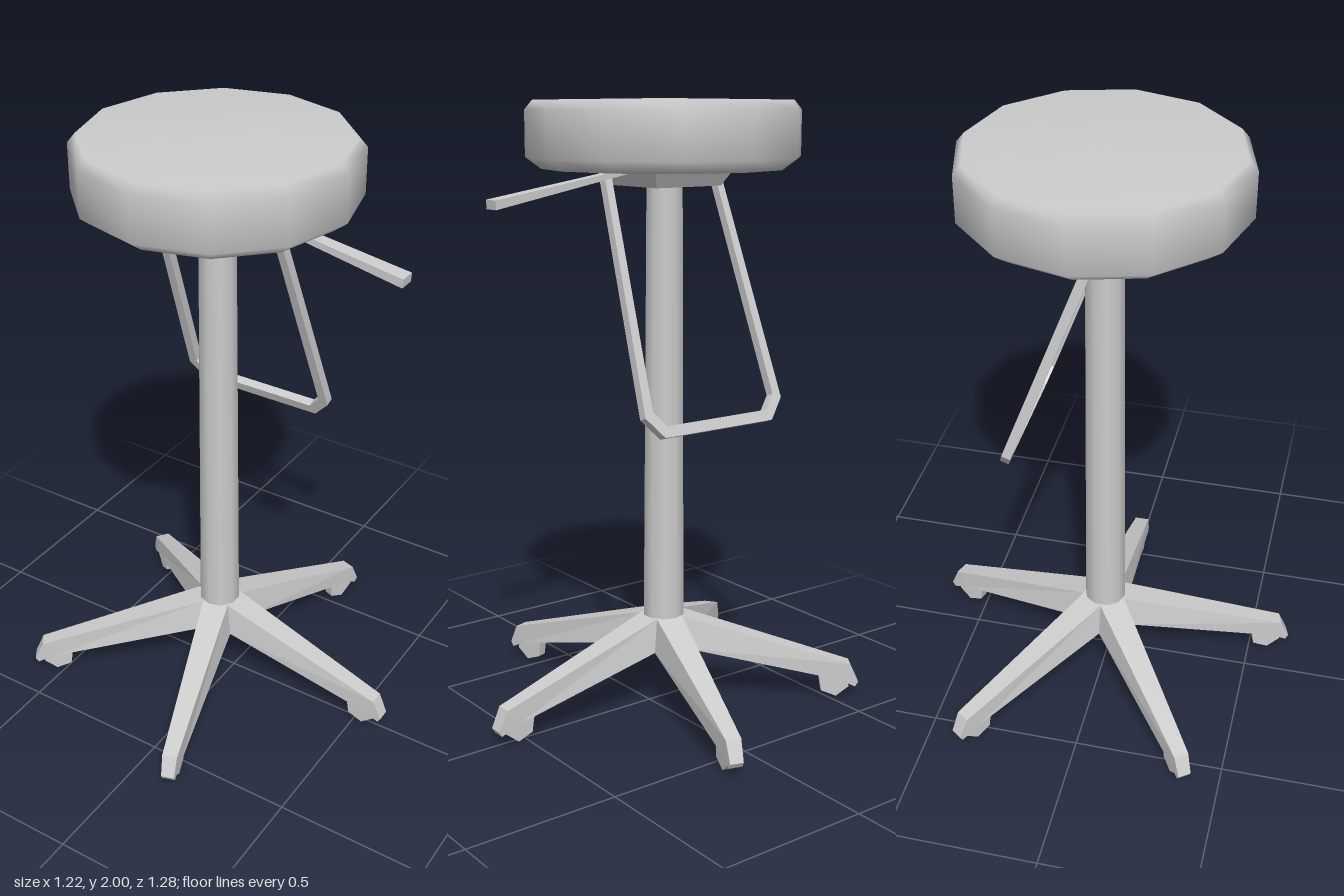
import * as THREE from 'three';

const smooth = new THREE.MeshStandardMaterial({ color: 0xcccccc });
const flat = new THREE.MeshStandardMaterial({ color: 0xcccccc, flatShading: true });

function add(parent, name, geometry, material = flat) {
  const mesh = new THREE.Mesh(geometry, material);
  mesh.name = name;
  parent.add(mesh);
  return mesh;
}

// Solid running along +x. Each section: [topX, topY, topHalfWidth, bottomX, bottomY, bottomHalfWidth]
function loft(sections) {
  const rings = sections.map(([tx, ty, tw, bx, by, bw]) => [
    [tx, ty, tw], [tx, ty, -tw], [bx, by, -bw], [bx, by, bw],
  ]);
  const pos = [];
  const quad = (a, b, c, d) => pos.push(...a, ...b, ...c, ...a, ...c, ...d);
  for (let i = 0; i < rings.length - 1; i++) {
    const p = rings[i], q = rings[i + 1];
    for (let k = 0; k < 4; k++) {
      const n = (k + 1) % 4;
      quad(p[k], q[k], q[n], p[n]);
    }
  }
  const s = rings[0], e = rings[rings.length - 1];
  quad(s[0], s[1], s[2], s[3]);
  quad(e[3], e[2], e[1], e[0]);
  const g = new THREE.BufferGeometry();
  g.setAttribute('position', new THREE.Float32BufferAttribute(pos, 3));
  g.computeVertexNormals();
  return g;
}

export function createModel() {
  const model = new THREE.Group();
  model.name = 'stool';

  // Everything is built round the column axis, then shifted
  const body = new THREE.Group();
  body.name = 'body';
  body.position.x = -0.06;
  model.add(body);

  // Padded twelve-sided seat
  const profile = [[0, 1.783], [0.39, 1.783], [0.44, 1.82], [0.44, 1.965], [0.415, 1.995], [0, 2]];
  add(body, 'seat', new THREE.LatheGeometry(profile.map(([r, y]) => new THREE.Vector2(r, y)), 12), smooth);

  // Square tapered plate under the seat
  const plate = new THREE.CylinderGeometry(0.16 * Math.SQRT2, 0.127 * Math.SQRT2, 0.06, 4);
  plate.rotateY(Math.PI / 4);
  add(body, 'seatPlate', plate).position.y = 1.76;

  // Column
  add(body, 'column', new THREE.CylinderGeometry(0.06, 0.07, 1.46, 10), smooth).position.y = 1.02;

  // Height lever, pointing left
  add(body, 'lever', loft([
    [0.1, 1.795, 0.016, 0.1, 1.78, 0.016],
    [0.638, 1.708, 0.027, 0.636, 1.68, 0.027],
  ]));

  // U-shaped foot rest: a bent outline, extruded and tilted backwards
  const outer = [[0.229, 0], [0.273, -0.787], [0.215, -0.855]];
  const inner = [[0.203, 0], [0.241, -0.772], [0.2, -0.82]];
  const mirrored = (pts) => pts.map(([x, y]) => [-x, y]).reverse();
  const outline = [...outer, ...mirrored(outer), ...inner.map(([x, y]) => [-x, y]), ...mirrored(inner).map(([x, y]) => [-x, y])];
  // Outline order: outer left to right, then inner right back to left
  const rest = new THREE.ExtrudeGeometry(
    new THREE.Shape(outline.map(([x, y]) => new THREE.Vector2(x, y))),
    { depth: 0.03, bevelEnabled: false },
  );
  rest.translate(0, 0, -0.015);
  const footRest = add(body, 'footRest', rest);
  footRest.position.set(0, 1.785, 0.025);
  footRest.rotation.x = 0.36;

  // Five-legged base with casters
  const legGeometry = loft([
    [0, 0.3, 0, 0, 0.19, 0],
    [0.062, 0.3, 0.045, 0.081, 0.19, 0.059],
    [0.635, 0.118, 0.025, 0.6, 0.062, 0.027],
    [0.665, 0.052, 0.022, 0.655, 0.035, 0.022],
  ]);
  const wheelGeometry = new THREE.CylinderGeometry(0.055, 0.055, 0.034, 6);
  wheelGeometry.rotateX(Math.PI / 2);
  wheelGeometry.rotateZ(0.15);
  for (let i = 0; i < 5; i++) {
    const leg = new THREE.Group();
    leg.name = 'leg' + (i + 1);
    leg.rotation.y = (i * Math.PI * 2) / 5;
    add(leg, 'legArm', legGeometry);
    add(leg, 'caster', wheelGeometry).position.set(0.582, 0.054, 0);
    body.add(leg);
  }
  return model;
}
